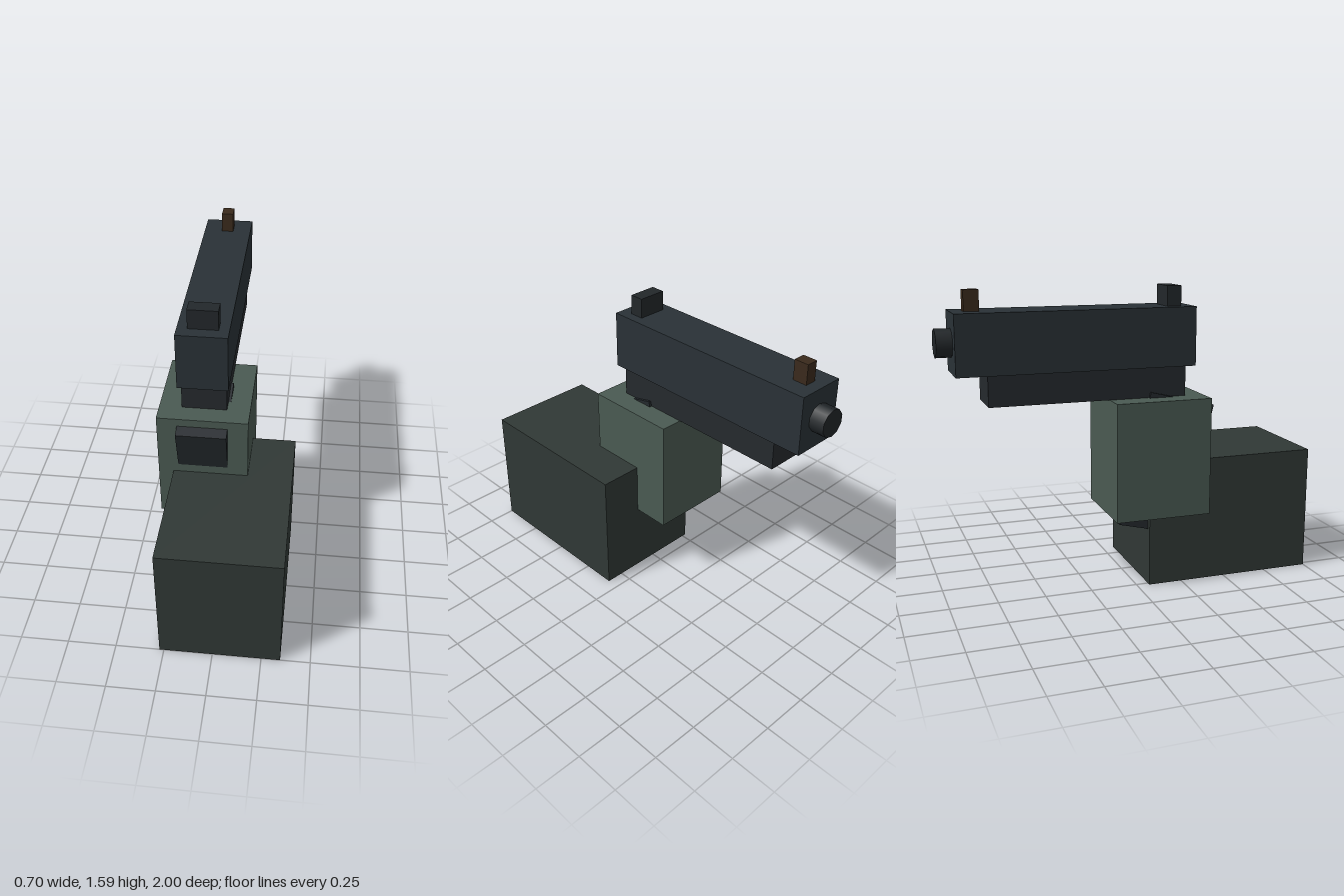
import * as THREE from 'three';

const mat = (color) => new THREE.MeshStandardMaterial({ color });

export function createModel() {
  const model = new THREE.Group();

  const add = (name, geometry, color, x, y, z) => {
    const mesh = new THREE.Mesh(geometry, mat(color));
    mesh.name = name;
    mesh.position.set(x, y, z);
    model.add(mesh);
    return mesh;
  };

  // Box given by its [min, max] range on each axis
  const block = (name, color, [x0, x1], [y0, y1], [z0, z1]) =>
    add(name, new THREE.BoxGeometry(x1 - x0, y1 - y0, z1 - z0), color,
      (x0 + x1) / 2, (y0 + y1) / 2, (z0 + z1) / 2);

  // Arm and fist
  block('forearm', 0x303835, [-0.273, 0.347], [0, 0.675], [0.066, 1]);
  block('hand', 0x4a5a52, [-0.35, 0.115], [0.392, 1.015], [-0.14, 0.375]);

  // Pistol body, pointing to -z
  block('slide', 0x293136, [-0.247, 0.01], [1.173, 1.48], [-0.92, 0.325]);
  block('frame', 0x25292d, [-0.234, -0.003], [1.016, 1.173], [-0.765, 0.273]);

  // Grip, raked through the fist
  const grip = add('grip', new THREE.BoxGeometry(0.257, 0.72, 0.365), 0x24292d, -0.118, 0.652, 0.17);
  grip.rotation.x = 0.243;

  // Muzzle
  const muzzle = add('muzzle', new THREE.CylinderGeometry(0.072, 0.072, 0.16, 10), 0x202528, -0.118, 1.328, -0.92);
  muzzle.rotation.x = Math.PI / 2;

  // Sights
  block('rearSight', 0x22272a, [-0.195, -0.042], [1.48, 1.585], [0.184, 0.26]);
  block('frontSight', 0x3a2a1c, [-0.149, -0.087], [1.48, 1.585], [-0.857, -0.78]);

  return model;
}
